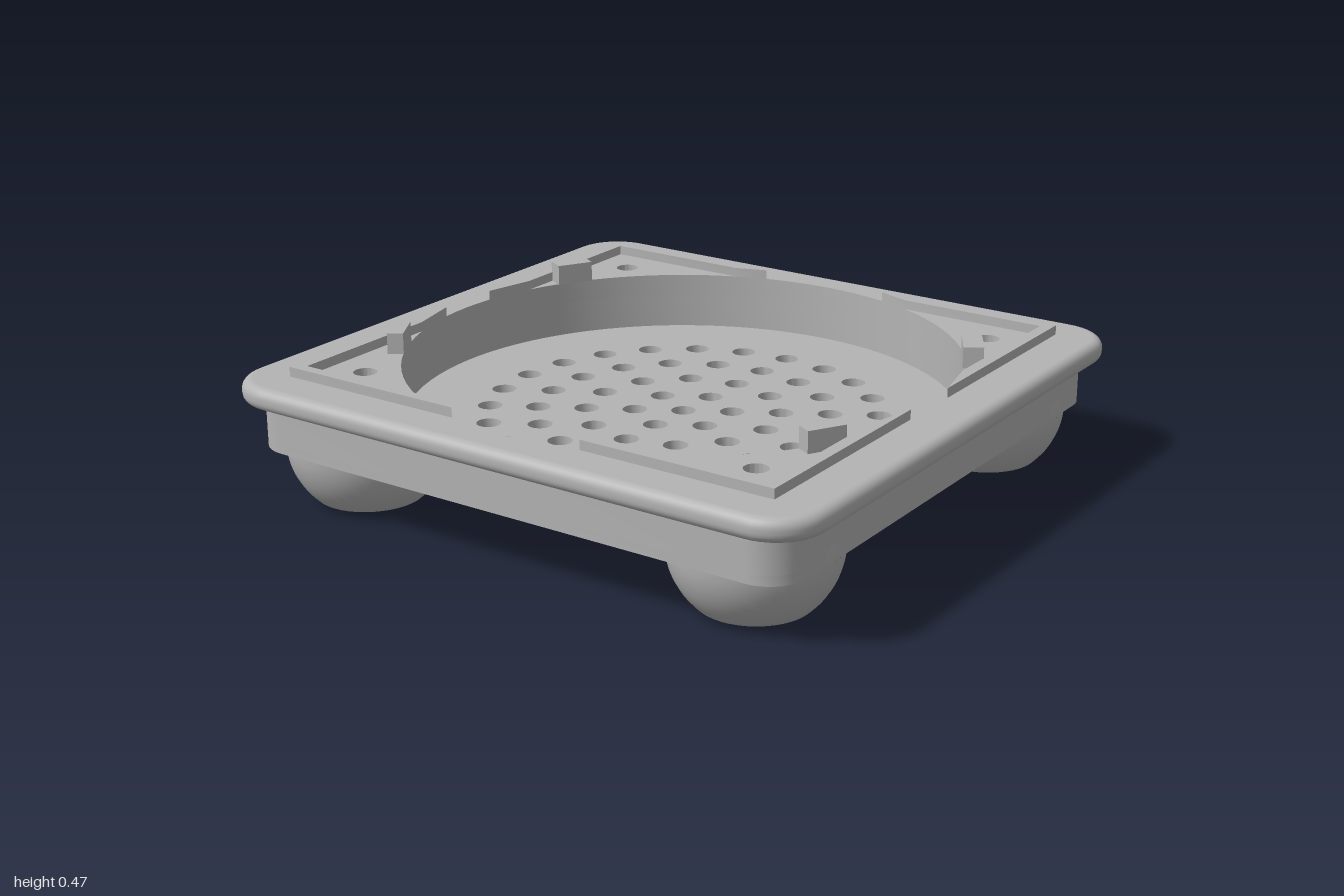
import * as THREE from 'three';
import { toCreasedNormals } from 'three/addons/utils/BufferGeometryUtils.js';

const RECESS = 0.855, HOLE = 0.038, FOOT_X = 0.692, FOOT_Z = 0.668;
const QUADRANTS = [[1, 1], [1, -1], [-1, 1], [-1, -1]];

// Points of a rounded rectangle, counter-clockwise in (x, z)
function roundedRect(hx, hz, r, steps = 10) {
  const pts = [];
  [[1, 1], [-1, 1], [-1, -1], [1, -1]].forEach(([sx, sz], i) => {
    for (let k = 0; k <= steps; k++) {
      const a = (i + k / steps) * Math.PI / 2;
      pts.push(new THREE.Vector2(sx * (hx - r) + r * Math.cos(a), sz * (hz - r) + r * Math.sin(a)));
    }
  });
  return pts;
}

// Horizontal slab between two heights, cut by round holes [x, z, radius]
function slab(points, holes, y0, y1, curveSegments = 12) {
  const shape = new THREE.Shape(points);
  for (const [x, z, r] of holes) {
    const h = new THREE.Path();
    h.absarc(x, z, r, 0, Math.PI * 2, true);
    shape.holes.push(h);
  }
  const g = new THREE.ExtrudeGeometry(shape, { depth: y1 - y0, bevelEnabled: false, curveSegments });
  g.rotateX(Math.PI / 2).translate(0, y1, 0);
  return toCreasedNormals(g, 0.6);
}

// Half-round lip swept around the flange
function lipGeometry(hx, hz, corner, y0, y1, r) {
  const profile = [];
  for (let k = 0; k <= 6; k++) {
    const a = -Math.PI / 2 + (k / 6) * Math.PI / 2;
    profile.push([r - r * Math.cos(a), y0 + r + r * Math.sin(a)]);
  }
  for (let k = 0; k <= 6; k++) {
    const a = (k / 6) * Math.PI / 2;
    profile.push([r - r * Math.cos(a), y1 - r + r * Math.sin(a)]);
  }
  const pos = [], idx = [];
  let n = 0;
  for (const [inset, y] of profile) {
    const ring = roundedRect(hx - inset, hz - inset, corner - inset);
    n = ring.length;
    for (const p of ring) pos.push(p.x, y, p.y);
  }
  for (let j = 0; j < profile.length - 1; j++) {
    for (let i = 0; i < n; i++) {
      const a = j * n + i, b = j * n + (i + 1) % n, c = a + n, d = b + n;
      idx.push(a, c, b, b, c, d);
    }
  }
  const g = new THREE.BufferGeometry();
  g.setAttribute('position', new THREE.Float32BufferAttribute(pos, 3));
  g.setIndex(idx);
  g.computeVertexNormals();
  return g;
}

export function createModel() {
  const model = new THREE.Group();
  model.name = 'drainTray';
  const grey = new THREE.MeshStandardMaterial({ color: 0xb4b4b4 });
  grey.name = 'grey plastic';
  const add = (name, geometry, parent = model) => {
    const mesh = new THREE.Mesh(geometry, grey);
    mesh.name = name;
    parent.add(mesh);
    return mesh;
  };

  // Screw holes in the corners, drain holes in rings of 6, 12, 18 and 24
  const screws = QUADRANTS.map(([sx, sz]) => [sx * FOOT_X, sz * FOOT_Z, 0.036]);
  const drains = [[0, 0, HOLE]];
  for (let ring = 1; ring <= 4; ring++) {
    for (let i = 0; i < ring * 6; i++) {
      const a = i / (ring * 6) * Math.PI * 2;
      drains.push([0.15 * ring * Math.sin(a), 0.15 * ring * Math.cos(a), HOLE]);
    }
  }

  // Tray: perforated floor, side walls, flange with rounded lip
  const bodyOutline = roundedRect(0.935, 0.915, 0.12);
  const recess = [[0, 0, RECESS], ...screws];
  add('floor', slab(bodyOutline, [...drains, ...screws], 0.19, 0.22));
  add('walls', slab(bodyOutline, recess, 0.22, 0.33, 48));
  add('flange', slab(roundedRect(0.97, 0.938, 0.13), recess, 0.33, 0.4, 48));
  add('flangeLip', lipGeometry(1, 0.968, 0.16, 0.33, 0.4, 0.03));

  // Raised corner ribs, ending where they meet the recess
  const onCircle = v => Math.sqrt(RECESS * RECESS - v * v);
  const ox = 0.848, oz = 0.825, ix = 0.81, iz = 0.79;
  const rib = [[ox, onCircle(ox)], [ox, oz], [onCircle(oz), oz],
    [onCircle(iz), iz], [ix, iz], [ix, onCircle(ix)]];

  // Bowl foot with stepped screw bore and flat base
  const R = 0.247, CY = 0.2;
  const arc = (y0, y1, n) => Array.from({ length: n + 1 }, (_, i) => {
    const y = y0 + (y1 - y0) * i / n;
    return new THREE.Vector2(Math.sqrt(R * R - (y - CY) ** 2), y);
  });
  const bowl = [[0.036, 0.19], [0.036, 0.12], [0.055, 0.12], [0.055, 0], [0.115, 0], [0.135, 0.004]]
    .map(p => new THREE.Vector2(...p)).concat(arc(0.016, 0.19, 12));
  const bowlGeometry = toCreasedNormals(new THREE.LatheGeometry(bowl, 40), 0.7);

  for (const [sx, sz] of QUADRANTS) {
    add('cornerRib', slab(rib.map(([x, z]) => new THREE.Vector2(sx * x, sz * z)), [], 0.4, 0.43));

    const foot = new THREE.Group();
    foot.name = 'foot';
    foot.position.set(sx * FOOT_X, 0, sz * FOOT_Z);
    model.add(foot);
    add('footBowl', bowlGeometry, foot);
    // Upper swell of the foot, only on the outward side
    add('footShoulder', new THREE.LatheGeometry(arc(0.19, 0.32, 8), 16,
      Math.atan2(sx, sz) - 1, 2), foot);

    // Retaining clip tangent to the recess
    const depth = sz > 0 ? 0.05 : 0.062, mid = sz > 0 ? 0.876 : 0.874;
    const a = Math.atan2(sx * Math.cos(Math.PI / 6), sz * 0.5);
    const clip = add('clip', new THREE.BoxGeometry(0.12, 0.066, depth));
    clip.position.set(mid * Math.sin(a), 0.433, mid * Math.cos(a));
    clip.rotation.y = a;
  }
  return model;
}
